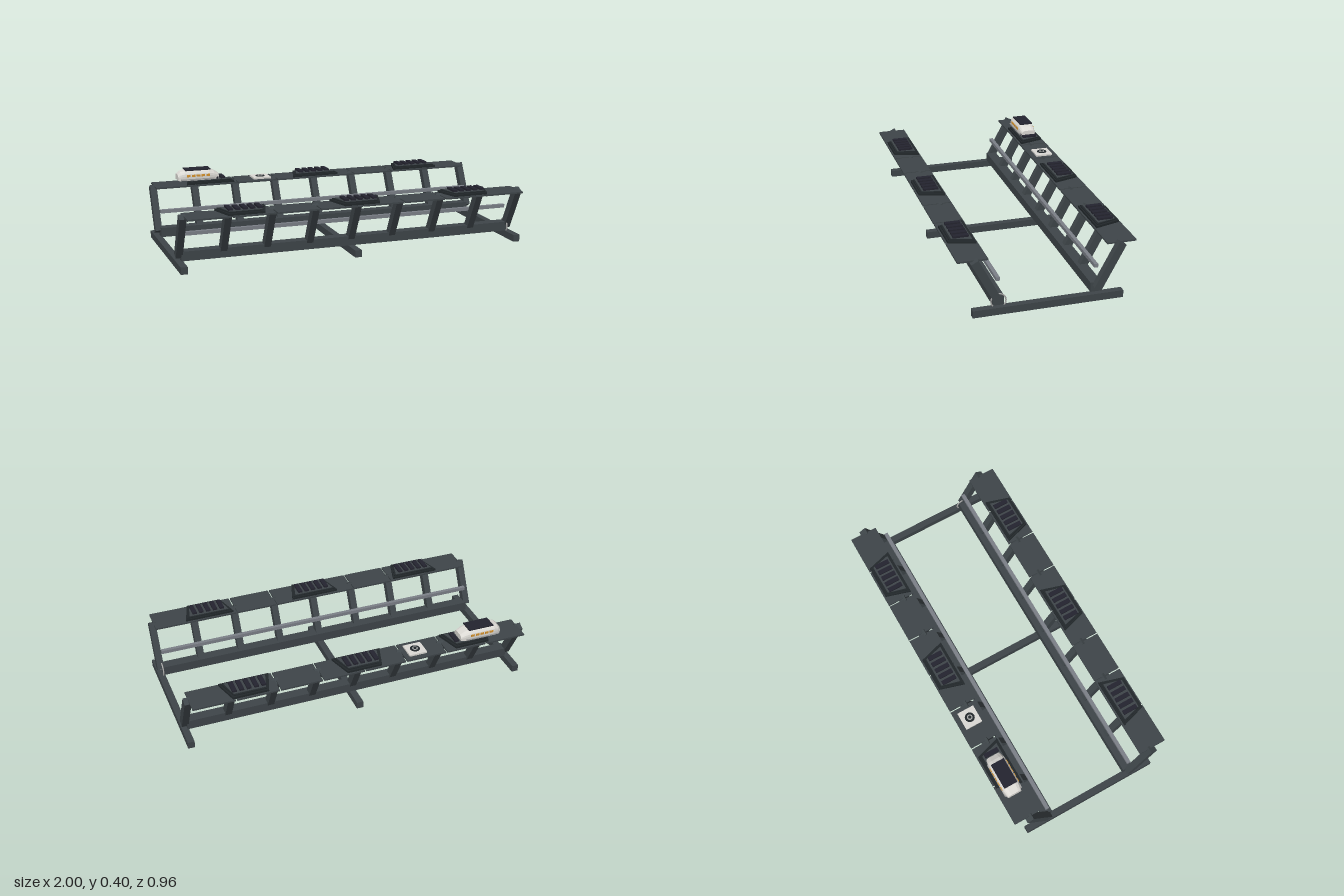
import * as THREE from 'three';

const mat = (name, color) => Object.assign(new THREE.MeshStandardMaterial({ color }), { name });
const M = {
  frame: mat('frame slate', 0x3e4549),
  hatch: mat('hatch charcoal', 0x22282b),
  fin: mat('vent navy', 0x24242f),
  rod: mat('rod grey', 0x7c8088),
  white: mat('shell white', 0xdcdad5),
  trim: mat('trim grey', 0xa9a9a8),
  amber: mat('window amber', 0xd8942e),
};

function add(parent, name, geo, material, x = 0, y = 0, z = 0) {
  const mesh = new THREE.Mesh(geo, material);
  mesh.name = name;
  mesh.position.set(x, y, z);
  parent.add(mesh);
  return mesh;
}
const box = (w, h, d) => new THREE.BoxGeometry(w, h, d);

// Flat trapezoid slab lying in xz, wide edge at z0, narrow edge at z1
function trapezoid(wide, narrow, z0, z1, height) {
  const s = new THREE.Shape();
  s.moveTo(-narrow / 2, -z1);
  s.lineTo(narrow / 2, -z1);
  s.lineTo(wide / 2, -z0);
  s.lineTo(-wide / 2, -z0);
  s.closePath();
  const g = new THREE.ExtrudeGeometry(s, { depth: height, bevelEnabled: false });
  return g.rotateX(-Math.PI / 2);
}

// Stepped hatch with five vent fins
function makeHatch(x) {
  const hatch = new THREE.Group();
  hatch.name = 'ventHatch';
  hatch.position.x = x;
  add(hatch, 'hatchBase', trapezoid(0.285, 0.2, 0.328, 0.47, 0.012), M.hatch, 0, 0.313, 0);
  add(hatch, 'hatchRim', trapezoid(0.262, 0.18, 0.336, 0.46, 0.006), M.hatch, 0, 0.325, 0);
  add(hatch, 'hatchPanel', trapezoid(0.235, 0.18, 0.345, 0.45, 0.003), M.frame, 0, 0.331, 0);
  for (let i = -2; i <= 2; i++)
    add(hatch, 'ventFin', box(0.025, 0.011, 0.085), M.fin, i * 0.041, 0.3395, 0.397);
  return hatch;
}

// One long side: rail, leaning struts, shelf plates, rod and hatches
function makeSide(name) {
  const side = new THREE.Group();
  side.name = name;
  add(side, 'bottomRail', box(1.94, 0.053, 0.06), M.frame, 0, 0.0665, 0.265);
  add(side, 'handRod', box(1.93, 0.02, 0.021), M.rod, 0, 0.185, 0.265);
  const lean = Math.atan2(0.127, 0.24);
  for (let i = -4; i <= 4; i++) {
    const strut = add(side, 'strut', box(0.038, 0.275, 0.043), M.frame, i * 0.2452, 0.188, 0.33);
    strut.rotation.x = lean;
  }
  for (let i = 0; i < 8; i++)
    add(side, 'shelfPlate', box(0.236, 0.009, 0.161), M.frame, (i - 3.5) * 0.2445, 0.3085, 0.3985);
  for (const x of [-0.65, 0, 0.65]) side.add(makeHatch(x));
  return side;
}

// Rounded body lofted through cross-sections along x: [x, half width, height]
function loftBody(stations, profile) {
  const pos = [], idx = [], n = profile.length;
  for (const [x, w, h] of stations)
    for (const [pz, py] of profile) pos.push(x, py * h, pz * w);
  for (let i = 0; i < stations.length - 1; i++)
    for (let j = 0; j < n; j++) {
      const k = (j + 1) % n;
      const a = i * n + j, b = a + n, c = (i + 1) * n + k, d = i * n + k;
      idx.push(a, b, c, a, c, d);
    }
  const last = (stations.length - 1) * n;
  for (let j = 1; j < n - 1; j++) {
    idx.push(0, j, j + 1);
    idx.push(last, last + j + 1, last + j);
  }
  const g = new THREE.BufferGeometry();
  g.setAttribute('position', new THREE.Float32BufferAttribute(pos, 3));
  g.setIndex(idx);
  const flat = g.toNonIndexed();
  flat.computeVertexNormals();
  return flat;
}

// Small pod car parked on a hatch
function makePod() {
  const pod = new THREE.Group();
  pod.name = 'podCar';
  pod.position.set(-0.71, 0.334, -0.4);
  const profile = [[1, 0], [1, 0.45], [0.95, 0.68], [0.8, 0.87], [0.5, 0.98],
    [-0.5, 0.98], [-0.8, 0.87], [-0.95, 0.68], [-1, 0.45], [-1, 0]];
  const stations = [[-0.125, 0.04, 0.036], [-0.11, 0.046, 0.05], [-0.085, 0.051, 0.057],
    [0.06, 0.051, 0.057], [0.09, 0.048, 0.048], [0.118, 0.042, 0.032]];
  add(pod, 'podBody', loftBody(stations, profile), M.white);
  add(pod, 'podSkirt', box(0.2, 0.008, 0.106), M.trim, -0.01, 0.006, 0);
  add(pod, 'roofPanel', box(0.15, 0.006, 0.08), M.fin, -0.005, 0.059, 0);
  for (const s of [-1, 1])
    for (let i = 0; i < 5; i++)
      add(pod, 'sideWindow', box(0.021, 0.012, 0.005), M.amber, -0.065 + i * 0.029, 0.028, s * 0.0505);
  return pod;
}

// Square pad with a round target
function makePad() {
  const pad = new THREE.Group();
  pad.name = 'landingPad';
  pad.position.set(-0.328, 0.313, -0.4);
  add(pad, 'padBase', box(0.105, 0.01, 0.1), M.white, 0, 0.005, 0);
  const discs = [[0.028, M.hatch], [0.016, M.trim], [0.009, M.hatch]];
  discs.forEach(([r, m], i) =>
    add(pad, 'padDisc', new THREE.CylinderGeometry(r, r, 0.002, 24), m, 0, 0.011 + i * 0.0015, 0));
  return pad;
}

export function createModel() {
  const model = new THREE.Group();
  model.name = 'doubleRackFrame';

  // Ground beams
  for (const x of [-0.981, 0, 0.981])
    add(model, 'crossBeam', box(0.038, 0.04, 0.815), M.frame, x, 0.02, 0);

  // Two mirrored sides
  model.add(makeSide('frontSide'));
  const back = makeSide('backSide');
  back.rotation.y = Math.PI;
  model.add(back);

  // Ring at the end of the front rail
  const ring = add(model, 'endRing', new THREE.TorusGeometry(0.04, 0.004, 8, 32), M.trim, 0.972, 0.065, 0.264);
  ring.rotation.y = Math.PI / 2;

  model.add(makePod(), makePad());
  return model;
}
